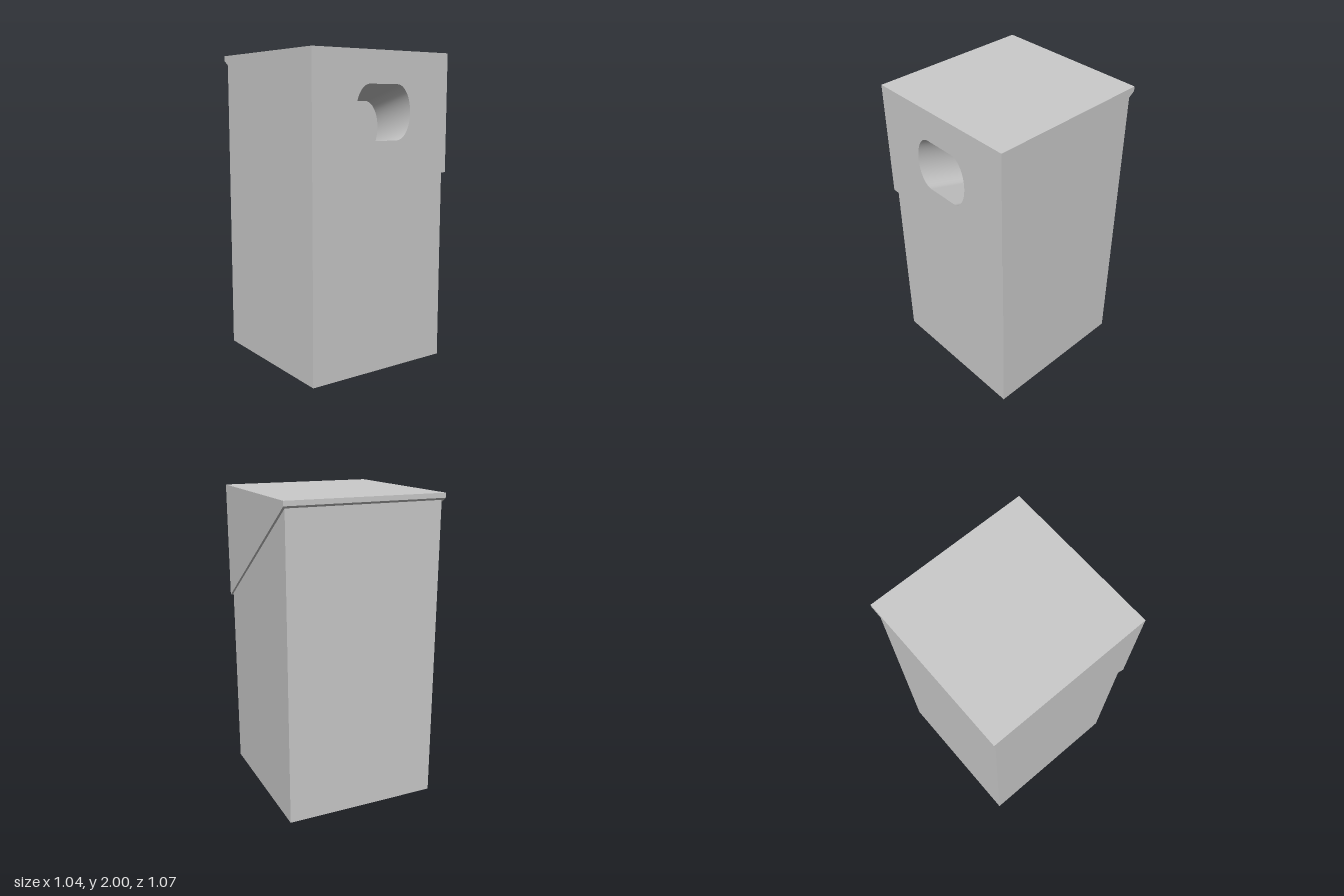
import * as THREE from 'three';

const material = new THREE.MeshStandardMaterial({ color: 0xcccccc });
const wallMaterial = new THREE.MeshStandardMaterial({ color: 0xcccccc, side: THREE.DoubleSide });

const LID_W = 0.52, LID_D = 0.535, LID_LOW = 1.24, LID_TOP = 2;
const BODY_W = 0.505, BODY_D = 0.515;

// Rectangular ring with separate front and back heights, starting front left
const ring = (w, d, front, back) => [
  [-w, front, d], [w, front, d], [w, back, -d], [-w, back, -d],
];

const quad = (a, b, c, d) => [a, b, c, a, c, d];

// Four side faces between two rings, lower ring first
function sides(low, high, skip = -1) {
  const out = [];
  for (let i = 0; i < 4; i++) {
    const j = (i + 1) % 4;
    if (i !== skip) out.push(...quad(low[i], low[j], high[j], high[i]));
  }
  return out;
}

function mesh(name, geometry, mat = material) {
  const m = new THREE.Mesh(geometry, mat);
  m.name = name;
  return m;
}

function faceted(points) {
  const g = new THREE.BufferGeometry();
  g.setAttribute('position', new THREE.Float32BufferAttribute(points.flat(), 3));
  g.computeVertexNormals();
  return g;
}

// Slot outline: flat top and bottom with elliptical ends
function slotPoints() {
  const pts = [];
  for (const [cx, start] of [[0.105, -Math.PI / 2], [-0.105, Math.PI / 2]]) {
    for (let i = 0; i <= 24; i++) {
      const a = start + (Math.PI * i) / 24;
      pts.push(new THREE.Vector2(cx + 0.105 * Math.cos(a), 1.63 + 0.17 * Math.sin(a)));
    }
  }
  return pts;
}

export function createModel() {
  const model = new THREE.Group();

  // Tall body with a slanted upper edge that meets the lid
  const foot = ring(BODY_W, BODY_D, 0, 0);
  const bodyTop = ring(BODY_W, BODY_D, 1.254, 1.956);
  model.add(mesh('body', faceted([
    ...sides(foot, bodyTop),
    ...quad(foot[3], foot[2], foot[1], foot[0]),
  ])));

  // Wedge lid: overhanging rim, sides, back and top
  const lidLow = ring(LID_W, LID_D, LID_LOW, 1.97);
  const lidTop = ring(LID_W, LID_D, LID_TOP, LID_TOP);
  model.add(mesh('lid', faceted([
    ...sides(bodyTop, lidLow),
    ...sides(lidLow, lidTop, 0),
    ...quad(...lidTop),
  ])));

  // Lid front panel with the slot opening
  const outline = slotPoints();
  const panel = new THREE.Shape([
    new THREE.Vector2(-LID_W, LID_LOW), new THREE.Vector2(LID_W, LID_LOW),
    new THREE.Vector2(LID_W, LID_TOP), new THREE.Vector2(-LID_W, LID_TOP),
  ]);
  panel.holes.push(new THREE.Path(outline));
  model.add(mesh('lidFront', new THREE.ShapeGeometry(panel).translate(0, 0, LID_D)));

  // Slot walls, running inward and slightly downward
  const depth = 0.32, drop = 0.1, n = outline.length;
  const pos = [], index = [];
  outline.forEach((p, i) => {
    pos.push(p.x, p.y, LID_D, p.x, p.y - drop, LID_D - depth);
    const a = 2 * i, b = 2 * ((i + 1) % n);
    index.push(a, b, b + 1, a, b + 1, a + 1);
  });
  const walls = new THREE.BufferGeometry();
  walls.setAttribute('position', new THREE.Float32BufferAttribute(pos, 3));
  walls.setIndex(index);
  walls.computeVertexNormals();
  model.add(mesh('slotWalls', walls, wallMaterial));

  // Slot back wall
  const back = new THREE.ShapeGeometry(new THREE.Shape(outline));
  model.add(mesh('slotBack', back.translate(0, -drop, LID_D - depth)));

  return model;
}
